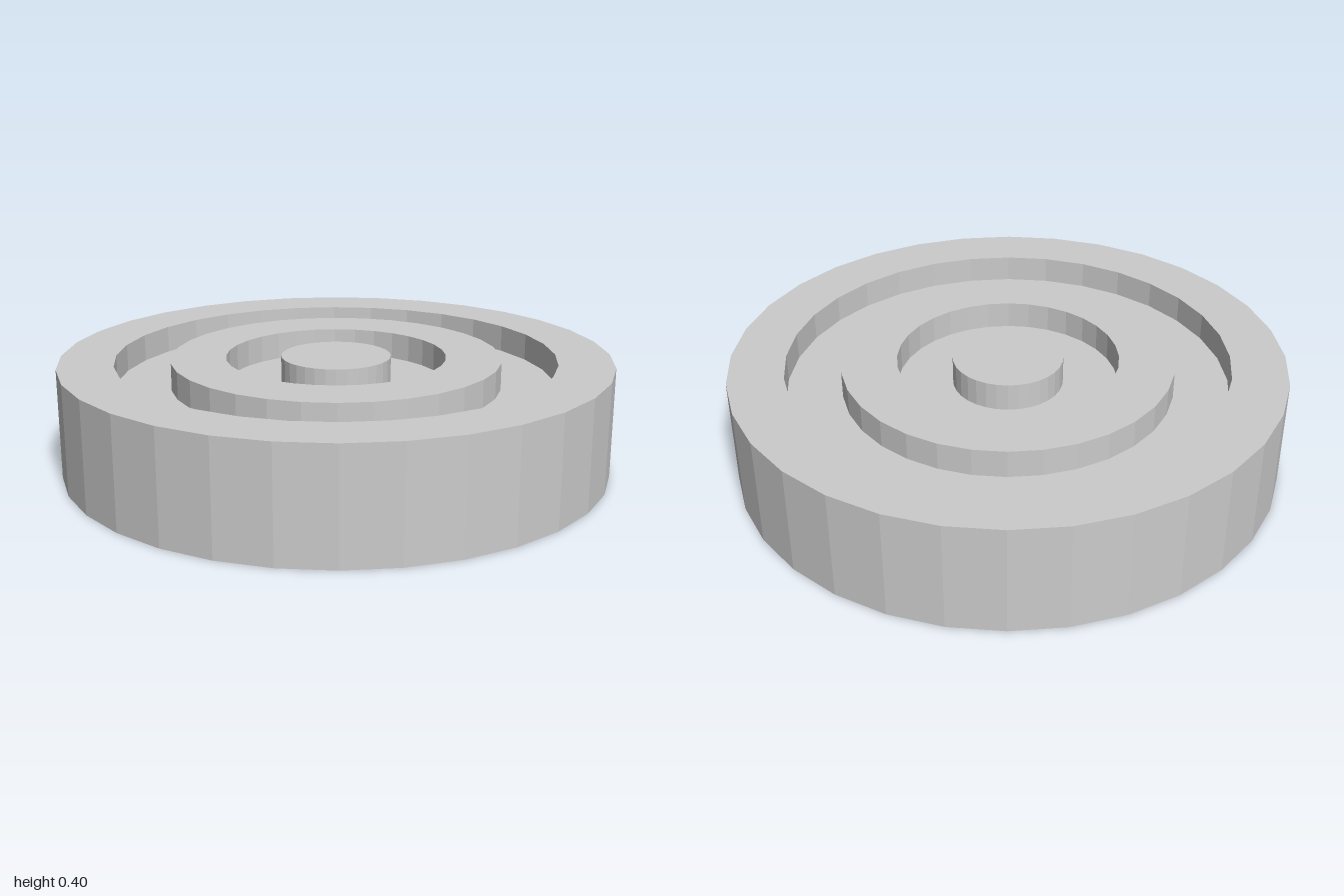
import * as THREE from 'three';

const SIDES = 32;
const HEIGHT = 0.4;
const GROOVE_DEPTH = 0.1;

export function createModel() {
  const group = new THREE.Group();
  group.name = 'groovedDisc';

  // Half profile of the underside: hub, groove, middle ring, groove, outer rim
  const d = GROOVE_DEPTH;
  const underside = [
    [0, 0], [0.2, 0], [0.2, d], [0.4, d], [0.4, 0],
    [0.6, 0], [0.6, d], [0.8, d], [0.8, 0], [1, 0],
  ];
  // The top face mirrors the underside
  const topside = underside.map(([r, y]) => [r, HEIGHT - y]).reverse();
  const profile = [...underside, ...topside].map(([r, y]) => new THREE.Vector2(r, y));

  // Disc with concentric grooves on both faces
  const disc = new THREE.Mesh(
    new THREE.LatheGeometry(profile, SIDES),
    new THREE.MeshStandardMaterial({ color: 0xcccccc, flatShading: true }),
  );
  disc.name = 'disc';
  group.add(disc);

  return group;
}
